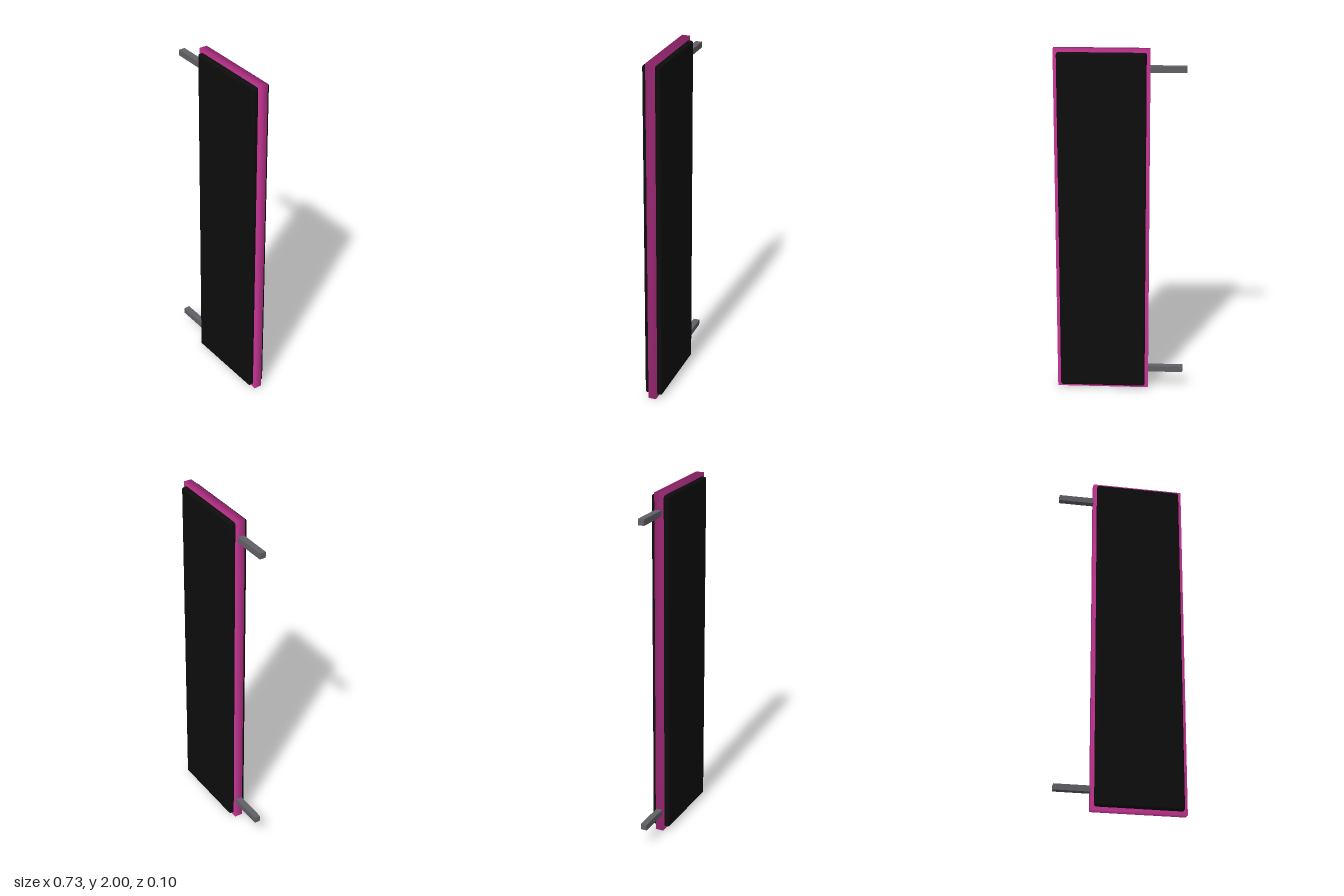
import * as THREE from 'three';
import { mergeVertices } from 'three/addons/utils/BufferGeometryUtils.js';
import { RoundedBoxGeometry } from 'three/addons/geometries/RoundedBoxGeometry.js';

const material = (name, color) => {
  const m = new THREE.MeshStandardMaterial({ color });
  m.name = name;
  return m;
};

// Box whose eight corners share normals, so its thin edges shade softly
function softBox(w, h, d) {
  const box = new THREE.BoxGeometry(w, h, d);
  box.deleteAttribute('normal');
  box.deleteAttribute('uv');
  const soft = mergeVertices(box);
  soft.computeVertexNormals();
  return soft;
}

export function createModel() {
  const model = new THREE.Group();
  model.name = 'hangingSign';
  const pink = material('pink trim', 0xc93596);
  const black = material('black panel', 0x0d0d0d);
  const gray = material('gray metal', 0x606066);

  const add = (name, geometry, mat, x, y) => {
    const mesh = new THREE.Mesh(geometry, mat);
    mesh.name = name;
    mesh.position.set(x, y, 0);
    model.add(mesh);
  };

  // Trim slab standing out all around the panel
  add('trim', softBox(0.526, 2, 0.046), pink, 0.1, 1);

  // Thicker panel with rounded edges, showing on both sides
  add('panel', new RoundedBoxGeometry(0.488, 1.964, 0.102, 3, 0.012), black, 0.1, 1);

  // Wall brackets on the right side
  for (const [name, y] of [['lowerBracket', 0.117], ['upperBracket', 1.89]]) {
    add(name, new THREE.BoxGeometry(0.212, 0.034, 0.036), gray, -0.257, y);
  }
  return model;
}
